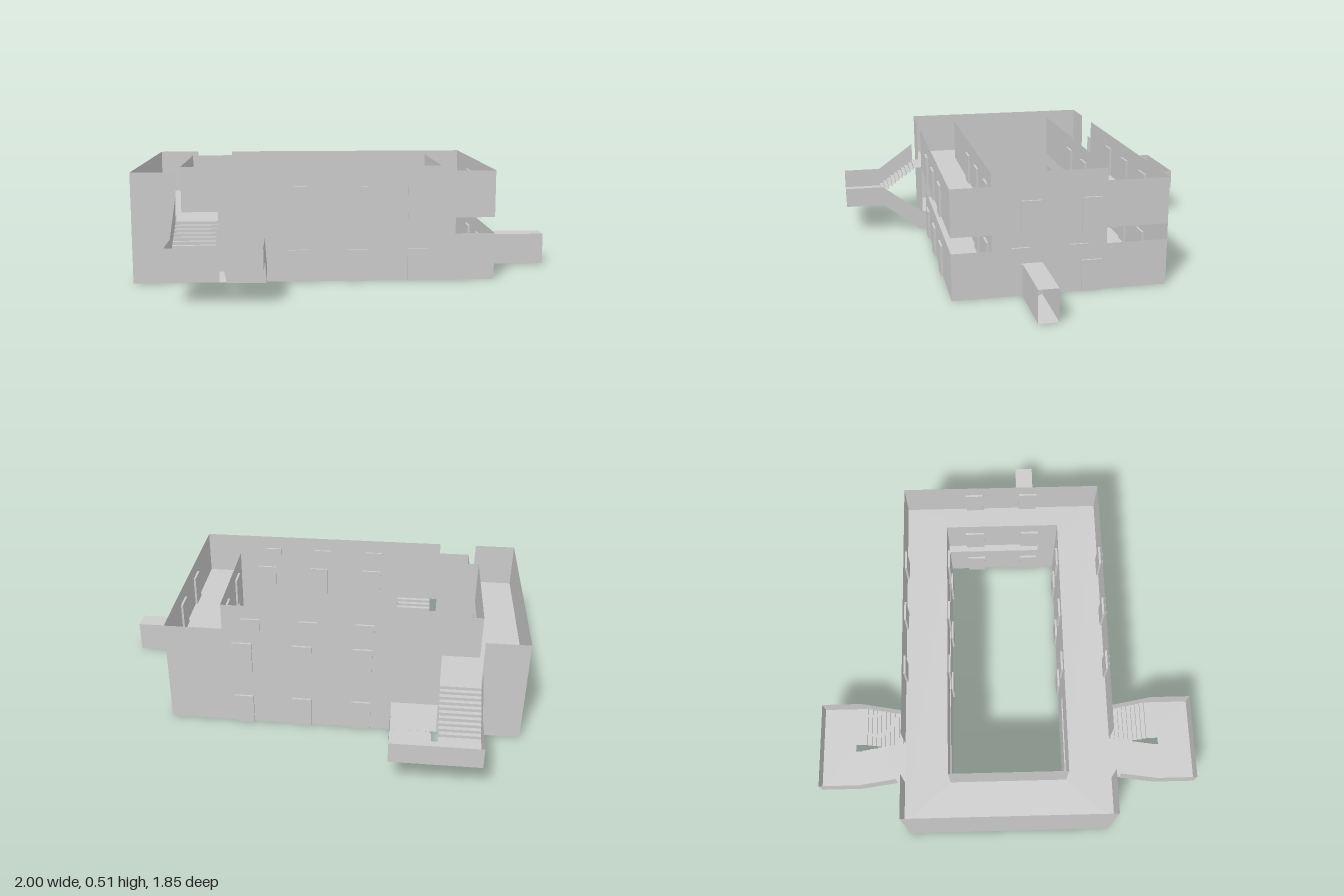
import * as THREE from 'three';

const mat = new THREE.MeshStandardMaterial({ color: 0xcccccc, side: THREE.DoubleSide, flatShading: true });

// Key levels and plan lines
const LOW_TOP = 0.22, UP = 0.295, TOP = 0.515, DOOR = 0.15;
const X0 = -1, X1 = 0.68, Z = 0.5;        // outer walls
const IX0 = -0.8, IX1 = 0.46, IZ = 0.28;  // courtyard walls

function add(parent, name, geometry) {
  const m = new THREE.Mesh(geometry, mat);
  m.name = name;
  parent.add(m);
  return m;
}

// Thin upright wall between two plan points
function wall(parent, name, xa, za, xb, zb, y0, y1) {
  const m = add(parent, name, new THREE.PlaneGeometry(Math.hypot(xb - xa, zb - za), y1 - y0));
  m.position.set((xa + xb) / 2, (y0 + y1) / 2, (za + zb) / 2);
  m.rotation.y = -Math.atan2(zb - za, xb - xa);
  return m;
}

function polygon(pts) {
  return new THREE.Shape(pts.map(([a, b]) => new THREE.Vector2(a, b)));
}

// Horizontal sheet from plan points (x, z)
function floor(parent, name, pts, y, hole) {
  const s = polygon(pts);
  if (hole) s.holes.push(polygon(hole));
  const g = new THREE.ShapeGeometry(s);
  g.rotateX(-Math.PI / 2);
  g.scale(1, 1, -1);
  // restore upward winding after the flip
  const idx = g.index.array;
  for (let i = 0; i < idx.length; i += 3) [idx[i], idx[i + 1]] = [idx[i + 1], idx[i]];
  g.computeVertexNormals();
  add(parent, name, g).position.y = y;
}

// Upright sheet in a plane of constant x, points (z, y)
function sidePanel(parent, name, pts, x) {
  const g = new THREE.ShapeGeometry(polygon(pts));
  g.rotateY(-Math.PI / 2);
  add(parent, name, g).position.x = x;
}

// Folded sheet of treads and risers from (z0,y0) up to (z1,y1)
function flight(parent, name, xa, xb, z0, y0, z1, y1, steps) {
  const p = [[z0, y0]];
  for (let i = 0; i < steps; i++) {
    const y = y0 + (y1 - y0) * (i + 1) / steps;
    p.push([z0 + (z1 - z0) * i / steps, y], [z0 + (z1 - z0) * (i + 1) / steps, y]);
  }
  const v = [];
  for (let i = 0; i + 1 < p.length; i++) {
    const [az, ay] = p[i], [bz, by] = p[i + 1];
    const a = [xa, ay, az], b = [xb, ay, az], c = [xb, by, bz], d = [xa, by, bz];
    if (z1 < z0) v.push(...a, ...b, ...c, ...a, ...c, ...d);
    else v.push(...a, ...c, ...b, ...a, ...d, ...c);
  }
  const g = new THREE.BufferGeometry();
  g.setAttribute('position', new THREE.Float32BufferAttribute(v, 3));
  g.computeVertexNormals();
  add(parent, name, g);
}

// Two-flight outside stair; built at the front, mirrored by s = -1 at the back
function stair(s) {
  const g = new THREE.Group();
  g.name = s > 0 ? 'frontStair' : 'backStair';
  const xl = -0.795, xr = -0.385, sa = -0.605, sb = -0.572;
  const zi = 0.73, ze = 0.927, yl = 0.15, rail = 0.1;
  const q = (pts) => pts.map(([z, y]) => [z * s, y]);
  floor(g, 'landing', [[xl, zi], [sa, zi], [sa, 0.765], [sb, 0.765], [sb, zi], [xr, zi], [xr, ze], [xl, ze]]
    .map(([x, z]) => [x, z * s]).slice()[s > 0 ? 'slice' : 'reverse'](), yl);
  wall(g, 'landingParapet', xl, ze * s, xr, ze * s, yl, yl + rail);
  flight(g, 'upperFlight', xl, sa, zi * s, yl, 0.52 * s, UP, 10);
  floor(g, 'upperThreshold', [[xl, Z * s], [sa, Z * s], [sa, 0.52 * s], [xl, 0.52 * s]], UP);
  flight(g, 'lowerFlight', sb, xr, 0.52 * s, 0, zi * s, yl, 10);
  sidePanel(g, 'upperParapet', q([[ze, yl], [ze, yl + rail], [zi, yl + rail], [0.535, 0.39], [0.535, 0.285], [zi, yl]]), xl);
  sidePanel(g, 'lowerParapet', q([[ze, yl], [ze, yl + rail], [zi, yl + rail], [0.53, rail], [Z, rail], [Z, 0], [0.54, 0], [zi, yl]]), xr);
  return g;
}

export function createModel() {
  const root = new THREE.Group();
  root.name = 'courtyardBuilding';

  // Ring-shaped floors
  const outer = [[X0, -Z], [X1, -Z], [X1, Z], [X0, Z]];
  const inner = [[IX0, -IZ], [IX1, -IZ], [IX1, IZ], [IX0, IZ]];
  floor(root, 'lowerFloor', outer, 0, inner);
  floor(root, 'upperFloor', outer, UP, inner);

  // Outer walls, open where the stairs arrive
  const walls = new THREE.Group();
  walls.name = 'walls';
  root.add(walls);
  wall(walls, 'endWall', X0, -Z, X0, Z, 0, TOP);
  for (const s of [1, -1]) {
    const side = s > 0 ? 'front' : 'back', z = Z * s;
    wall(walls, side + 'CornerWall', X0, z, -0.795, z, 0, TOP);
    wall(walls, side + 'WallUnderStair', -0.795, z, -0.605, z, 0, UP);
    wall(walls, side + 'LowerWall', -0.385, z, X1, z, 0, s > 0 ? LOW_TOP : UP);
    wall(walls, side + 'UpperWall', -0.605, z, X1, z, UP, TOP);
  }
  wall(walls, 'sideLowerWall', X1, -Z, X1, Z, 0, LOW_TOP);
  wall(walls, 'sideUpperWall', X1, -Z, X1, Z, UP, TOP);

  // Courtyard walls on both storeys
  for (const [y0, y1, n] of [[0, LOW_TOP, 'Lower'], [UP, TOP, 'Upper']]) {
    for (const z of [-IZ, IZ]) wall(walls, 'courtyard' + n + 'LongWall', IX0, z, IX1, z, y0, y1);
    for (const x of [IX0, IX1]) wall(walls, 'courtyard' + n + 'EndWall', x, -IZ, x, IZ, y0, y1);
  }
  // Filled stretch between the storeys
  wall(walls, 'courtyardInfill', -0.385, IZ, IX1, IZ, LOW_TOP, UP);
  wall(walls, 'courtyardInfillReturn', IX1, IZ, IX1, 0.19, LOW_TOP, UP);

  // Doors on both storeys, standing slightly proud of the walls
  const doors = new THREE.Group();
  doors.name = 'doors';
  root.add(doors);
  for (const y of [0, UP]) {
    for (const z of [-Z, -IZ, IZ, Z])
      for (const x of [-0.243, 0.038, 0.318])
        add(doors, 'door', new THREE.BoxGeometry(0.092, DOOR, 0.02)).position.set(x, y + DOOR / 2, z);
    for (const x of [IX1, X1])
      for (const z of [-0.14, 0.14])
        add(doors, 'sideDoor', new THREE.BoxGeometry(0.02, DOOR, 0.092)).position.set(x, y + DOOR / 2, z);
  }

  // Open-ended entrance passage
  const passage = new THREE.Group();
  passage.name = 'entrancePassage';
  root.add(passage);
  const rect = [[X1, 0.088], [1, 0.088], [1, 0.18], [X1, 0.18]];
  floor(passage, 'passageFloor', rect, 0);
  floor(passage, 'passageRoof', rect, 0.153);
  for (const z of [0.088, 0.18]) wall(passage, 'passageWall', X1, z, 1, z, 0, 0.153);

  root.add(stair(1), stair(-1));
  return root;
}
